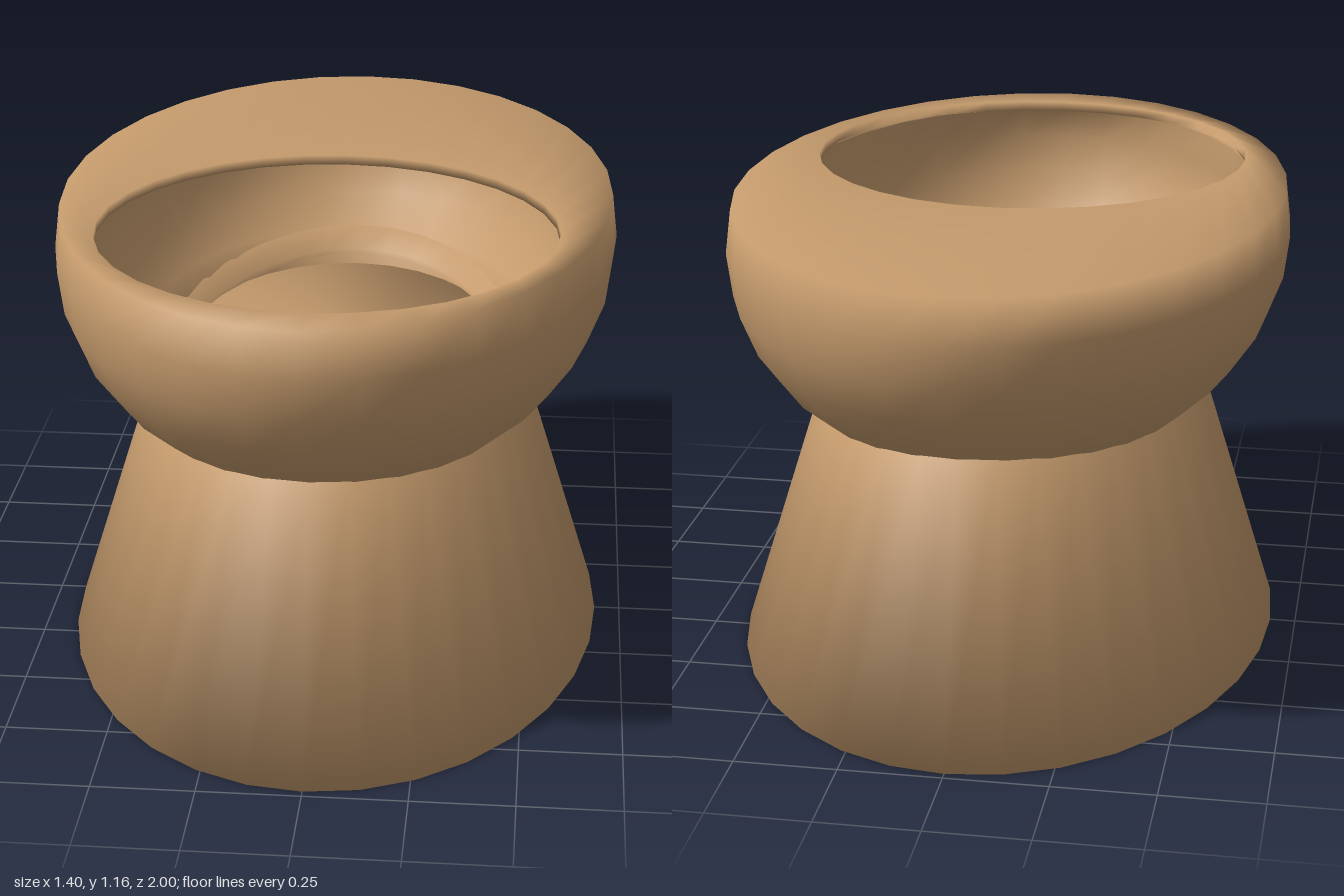
import * as THREE from 'three';

const SIDES = 32;
const material = new THREE.MeshStandardMaterial({ color: 0xc49a6c, side: THREE.DoubleSide });

// An elliptical ring: half width, half depth, height, forward shift, extra height at front and back
const ring = (rx, rz, y, shift = 0, lift = 0) => ({ rx, rz, y, shift, lift });

// Smooth skin through a list of rings; on an outer wall they run from bottom to top
function loft(name, rings) {
  const pos = [], index = [];
  rings.forEach(({ rx, rz, y, shift, lift }) => {
    for (let i = 0; i < SIDES; i++) {
      const a = (i / SIDES) * Math.PI * 2;
      pos.push(rx * Math.sin(a), y + lift * Math.cos(a) ** 2, shift + rz * Math.cos(a));
    }
  });
  for (let r = 0; r < rings.length - 1; r++) {
    for (let i = 0; i < SIDES; i++) {
      const j = (i + 1) % SIDES;
      const a = r * SIDES + i, b = r * SIDES + j, c = b + SIDES, d = a + SIDES;
      index.push(a, b, c, a, c, d);
    }
  }
  const geo = new THREE.BufferGeometry();
  geo.setAttribute('position', new THREE.Float32BufferAttribute(pos, 3));
  geo.setIndex(index);
  geo.computeVertexNormals();
  const mesh = new THREE.Mesh(geo, material);
  mesh.name = name;
  return mesh;
}

// Ring of an ellipsoid centred at y = 1.05, at a latitude given in steps of 11.25 degrees
function latitude(rx, ry, rz, step) {
  const t = (step * Math.PI) / 16;
  return ring(rx * Math.cos(t), rz * Math.cos(t), 1.05 + ry * Math.sin(t));
}

export function createModel() {
  const model = new THREE.Group();
  model.name = 'bowlOnPedestal';

  // Flared pedestal, closed below and above
  model.add(loft('pedestal', [
    ring(0.001, 0.001, 0),
    ring(0.685, 0.98, 0),
    ring(0.461, 0.79, 0.71),
    ring(0.001, 0.001, 0.71),
  ]));

  // Hollow oval bowl: outside, flat top with a round opening near the front, inside
  const outside = [-4, -3, -2, -1, 0, 1].map((s) => latitude(0.7, 0.56, 1, s));
  const inside = [0.9, 0, -1, -2, -3, -4].map((s) => latitude(0.62, 0.49, 0.92, s));
  model.add(loft('bowl', [
    ...outside,
    ring(0.56, 0.56, 1.16, 0.31),
    ring(0.56, 0.56, 1.135, 0.31),
    ...inside,
    outside[0],
  ]));

  // Low lip around the floor of the bowl, higher at its front and back
  model.add(loft('floorLip', [
    ring(0.475, 0.77, 0.735, 0, 0.05),
    ring(0.42, 0.69, 0.708, 0, 0.035),
    ring(0.42, 0.69, 0.69),
  ]));

  return model;
}
